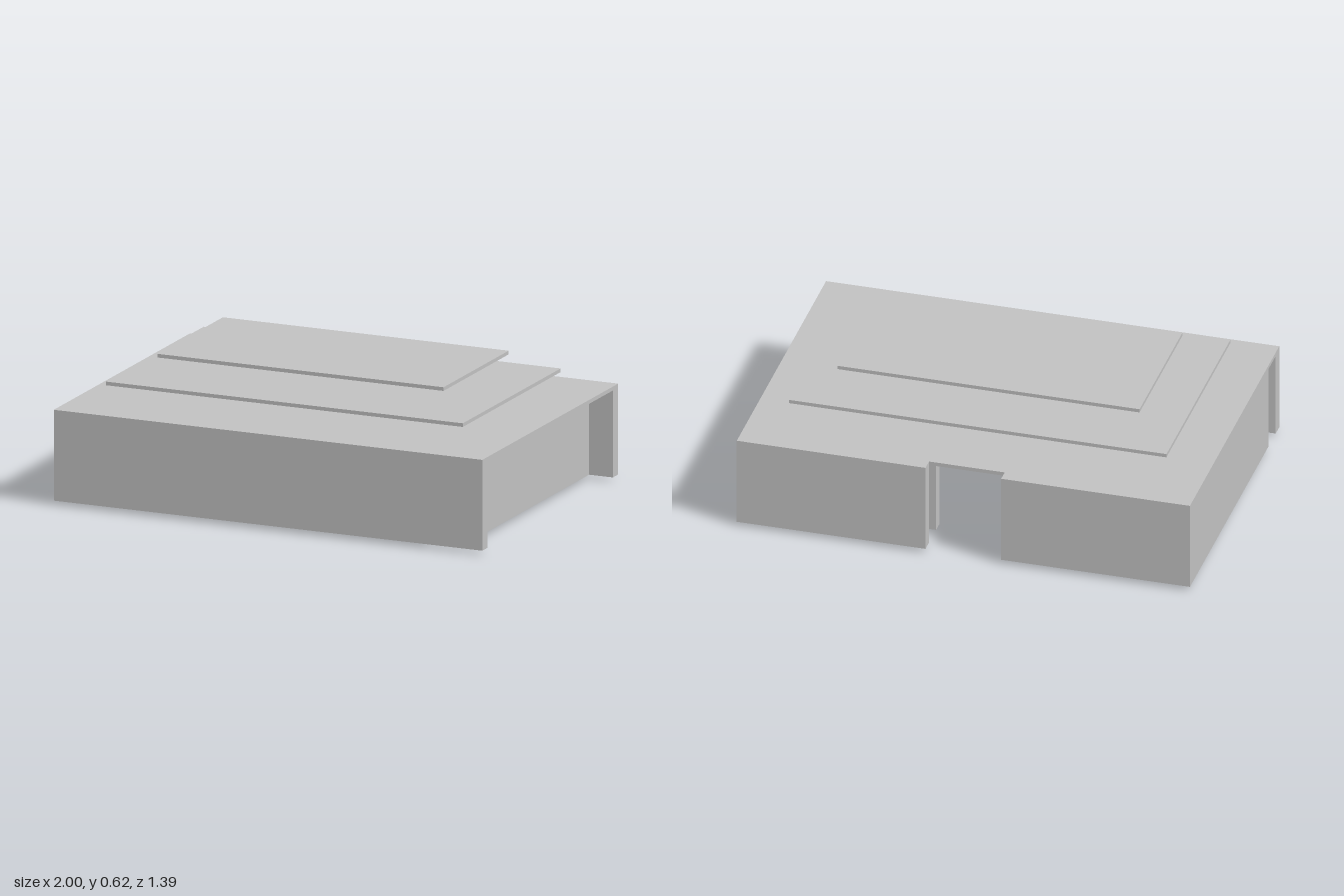
import * as THREE from 'three';

export function createModel() {
  const model = new THREE.Group();
  model.name = 'building';
  const grey = new THREE.MeshStandardMaterial({ color: 0xc0c0c0 });
  grey.name = 'plain grey';

  // Box given by its limits on each axis
  function block(name, [x0, x1], [y0, y1], [z0, z1]) {
    const mesh = new THREE.Mesh(new THREE.BoxGeometry(x1 - x0, y1 - y0, z1 - z0), grey);
    mesh.name = name;
    mesh.position.set((x0 + x1) / 2, (y0 + y1) / 2, (z0 + z1) / 2);
    model.add(mesh);
  }

  // Main roof slab with a notch over the back doorway
  const outline = new THREE.Shape([
    [-1, -0.695], [1, -0.695], [1, 0.695], [0.167, 0.695],
    [0.167, 0.64], [-0.167, 0.64], [-0.167, 0.695], [-1, 0.695],
  ].map(([x, y]) => new THREE.Vector2(x, y)));
  const slab = new THREE.ExtrudeGeometry(outline, { depth: 0.017, bevelEnabled: false });
  slab.rotateX(-Math.PI / 2);
  const roof = new THREE.Mesh(slab, grey);
  roof.name = 'roofSlab';
  roof.position.y = 0.4;
  model.add(roof);

  // Floating roof tiers
  block('middleRoofTier', [-0.833, 0.833], [0.503, 0.519], [-0.472, 0.528]);
  block('topRoofTier', [-0.667, 0.667], [0.603, 0.619], [-0.305, 0.362]);

  // Outer walls
  const wallY = [0.018, 0.4];
  block('frontWall', [-1, 1], wallY, [0.64, 0.695]);
  block('leftWall', [0.833, 0.889], wallY, [-0.64, 0.53]);
  block('rightWall', [-1, -0.945], wallY, [-0.64, 0.53]);

  // Back walls either side of the doorway, with inner screens behind them
  for (const side of [-1, 1]) {
    const span = (a, b) => (side > 0 ? [a, b] : [-b, -a]);
    block('backWall', span(0.167, 1), wallY, [-0.695, -0.64]);
    block('innerScreen', span(0.167, 0.833), wallY, [-0.53, -0.475]);
  }

  // Low floor plates
  const floorY = [0, 0.018];
  block('largeFloorPlate', [-0.833, -0.5], floorY, [-0.305, 0.362]);
  block('frontFloorPlate', [0.5, 0.667], floorY, [0.2, 0.53]);
  block('backFloorPlate', [0.5, 0.667], floorY, [-0.305, 0.03]);

  // Small square plates above the floor plates
  const small = 0.133;
  for (const [x, z] of [[-0.6, 0.3], [-0.6, 0.15], [-0.6, -0.2], [0.6, 0.24], [0.6, -0.1], [0.6, -0.24]]) {
    block('smallPlate', [x - small / 2, x + small / 2], [0.13, 0.147], [z - small / 2, z + small / 2]);
  }

  // Short pillars near the front wall
  for (const x of [0.083, -0.083, -0.783]) {
    block('pillar', [x - small / 2, x + small / 2], [0.018, 0.318], [0.395, 0.528]);
  }

  return model;
}
